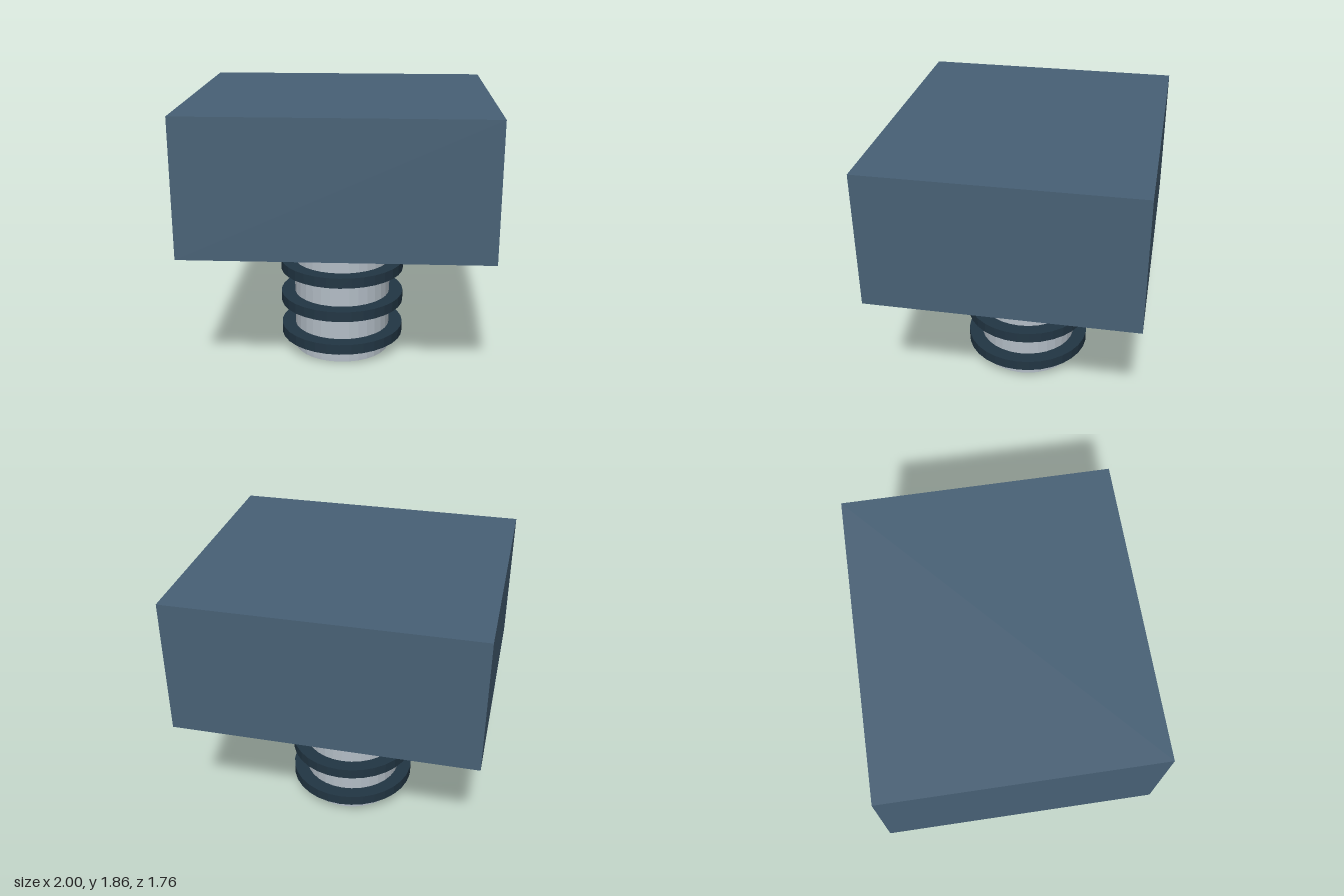
import * as THREE from 'three';

export function createModel() {
  const model = new THREE.Group();
  const material = (name, color) => {
    const m = new THREE.MeshStandardMaterial({ color, flatShading: true });
    m.name = name;
    return m;
  };
  const slate = material('slate blue', 0x486176);
  const navy = material('dark navy', 0x223644);
  const steel = material('light steel', 0xb4bec7);

  const add = (name, geometry, mat, y) => {
    const mesh = new THREE.Mesh(geometry, mat);
    mesh.name = name;
    mesh.position.y = y;
    model.add(mesh);
  };

  // Block-shaped head
  add('head', new THREE.BoxGeometry(2, 0.905, 1.765), slate, 1.4075);

  // Round shaft below the head
  add('shaft', new THREE.CylinderGeometry(0.344, 0.344, 0.955, 32), steel, 0.4775);

  // Four evenly spaced collars around the shaft
  const collar = new THREE.CylinderGeometry(0.441, 0.441, 0.073, 32);
  for (let i = 0; i < 4; i++) add(`collar${i + 1}`, collar, navy, 0.14 + i * 0.248);

  return model;
}
